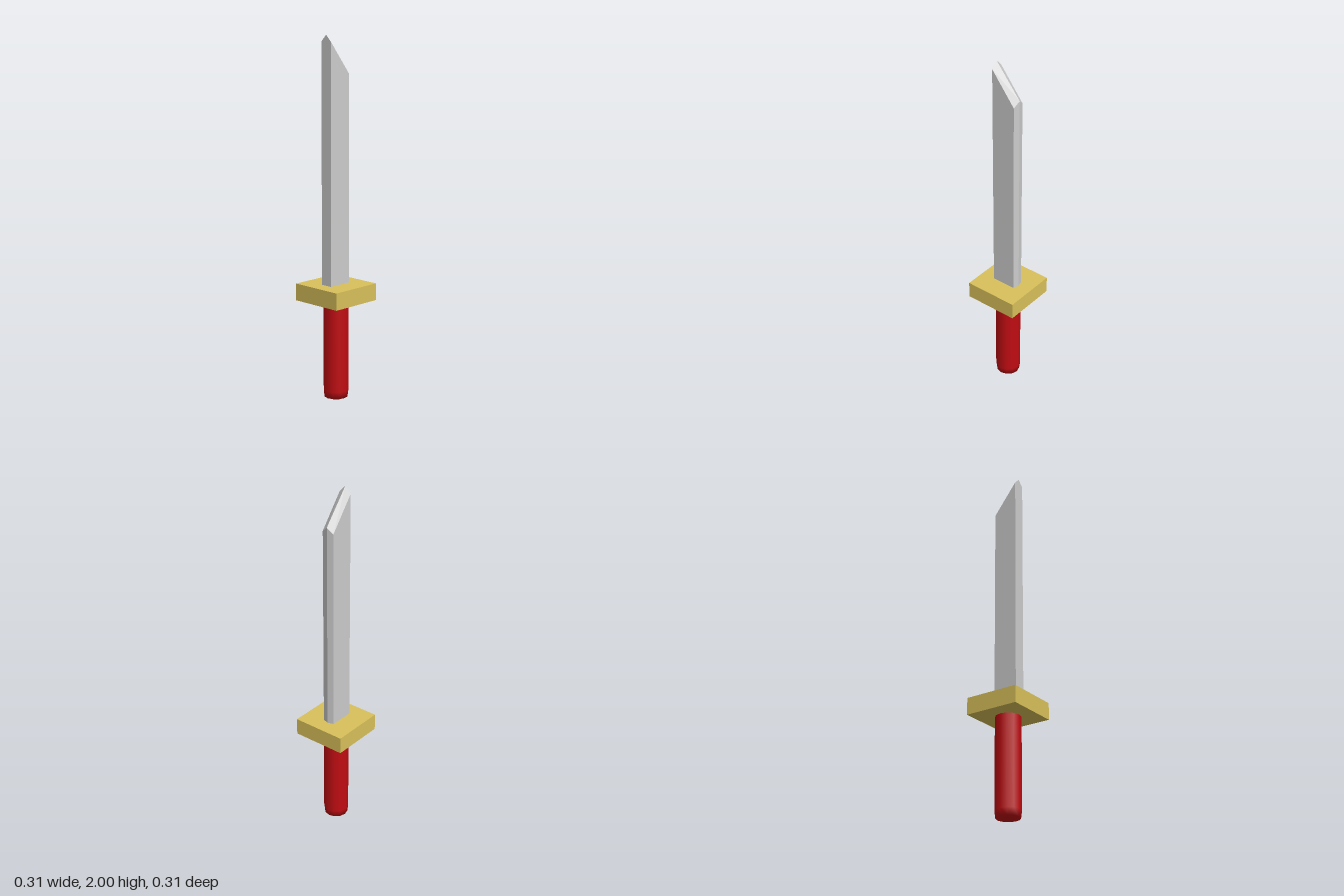
import * as THREE from 'three';

function mesh(name, geometry, color, flatShading = false) {
  const m = new THREE.Mesh(geometry, new THREE.MeshStandardMaterial({ color, flatShading }));
  m.name = name;
  return m;
}

// Blade: six-sided section, with a slanted tip ridged along z = 0
function bladeGeometry() {
  const base = 0.62;
  const section = [ // x, z, height of the tip
    [-0.074, 0.035, 1.965], [0.065, 0.035, 1.79], [0.075, 0, 1.82],
    [0.065, -0.035, 1.79], [-0.074, -0.035, 1.965], [-0.074, 0, 2],
  ];
  const low = section.map(([x, z]) => [x, base, z]);
  const high = section.map(([x, z, y]) => [x, y, z]);
  const positions = [];
  const quad = (a, b, c, d) => positions.push(...a, ...b, ...c, ...a, ...c, ...d);
  for (let i = 0; i < 6; i++) {
    const j = (i + 1) % 6;
    quad(low[i], low[j], high[j], high[i]);
  }
  // Two bevels of the tip, then the underside
  quad(high[0], high[1], high[2], high[5]);
  quad(high[5], high[2], high[3], high[4]);
  quad(low[5], low[2], low[1], low[0]);
  quad(low[4], low[3], low[2], low[5]);
  const g = new THREE.BufferGeometry();
  g.setAttribute('position', new THREE.Float32BufferAttribute(positions, 3));
  g.computeVertexNormals();
  return g;
}

export function createModel() {
  const model = new THREE.Group();
  model.name = 'sword';

  model.add(mesh('blade', bladeGeometry(), 0xcccccc, true));

  // Square guard
  const guard = mesh('guard', new THREE.BoxGeometry(0.31, 0.095, 0.31), 0xd8c05a);
  guard.position.y = 0.5985;
  model.add(guard);

  // Round grip with a slightly softened end
  const profile = [[0, 0], [0.066, 0], [0.071, 0.04], [0.071, 0.56]]
    .map(([r, y]) => new THREE.Vector2(r, y));
  model.add(mesh('grip', new THREE.LatheGeometry(profile, 12), 0xc00d12));

  return model;
}
